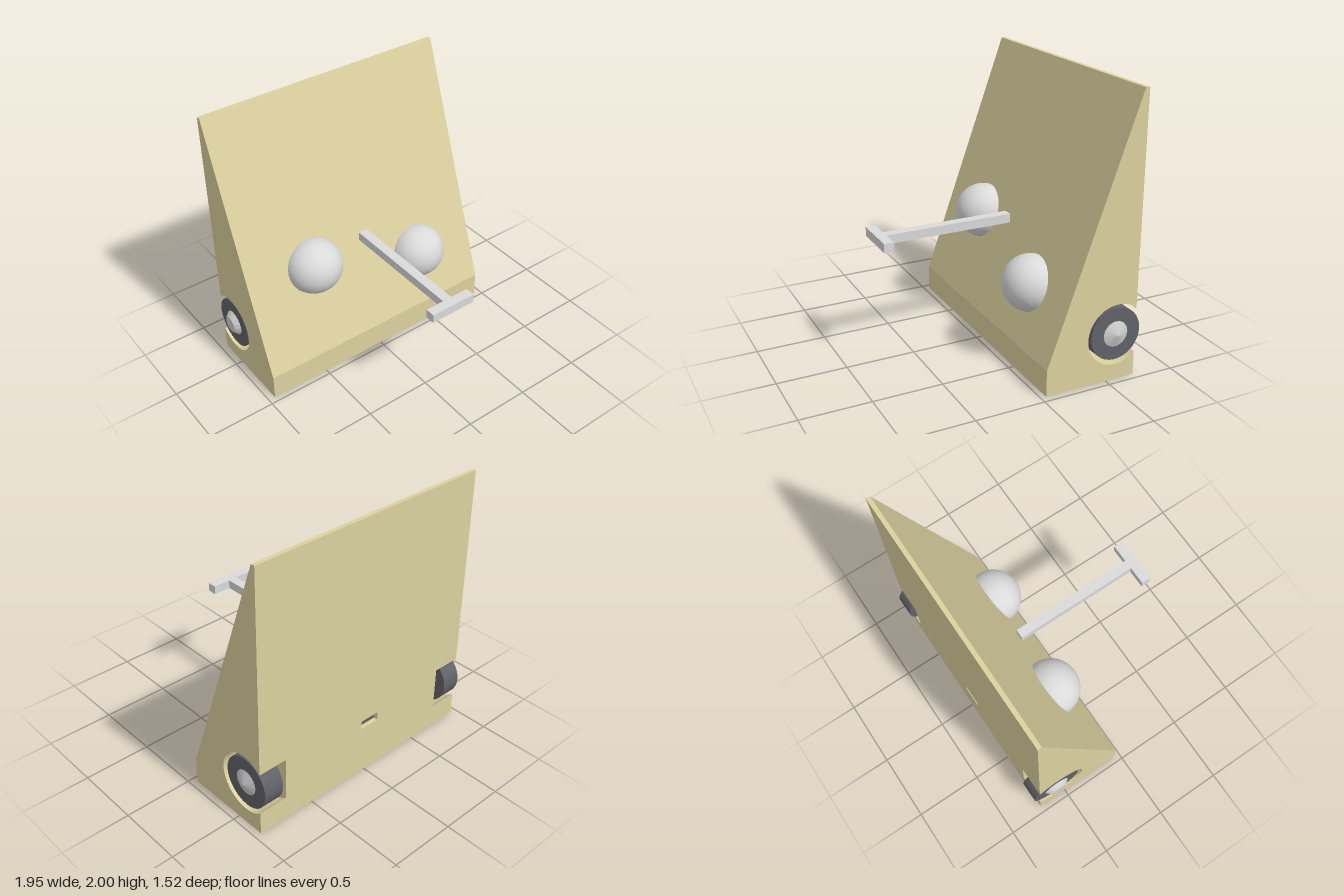
import * as THREE from 'three';

const mat = (name, color, flat = false) => new THREE.MeshStandardMaterial({ name, color, flatShading: flat });

export function createModel() {
  const model = new THREE.Group();
  const tan = mat('tan body', 0xdcd29f);
  const grey = mat('light grey', 0xdadada);
  const hubGrey = mat('hub grey', 0xd0d0d0, true);
  const rubber = mat('dark rubber', 0x62626a, true);

  const add = (name, geometry, material, x = 0, y = 0, z = 0, parent = model) => {
    const mesh = new THREE.Mesh(geometry, material);
    mesh.name = name;
    mesh.position.set(x, y, z);
    parent.add(mesh);
    return mesh;
  };

  // Wedge side profile (horizontal axis runs backwards), with a cut in its back edge
  const axleY = 0.335, axleBack = 0.57, wellR = 0.22;
  const profile = (cutBack) => {
    const s = new THREE.Shape();
    s.moveTo(0.04, 0);
    s.lineTo(0.72, 0);
    if (cutBack) cutBack(s);
    s.lineTo(0.72, 2);
    s.lineTo(0.69, 2);
    s.lineTo(0.04, 0.19);
    s.closePath();
    return s;
  };
  const well = (s) => {
    const a = Math.acos((0.72 - axleBack) / wellR);
    s.absarc(axleBack, axleY, wellR, -a, a, true);
  };
  const slot = (s) => {
    for (const [u, y] of [[0.72, 0.37], [0.67, 0.37], [0.67, 0.435], [0.72, 0.435]]) s.lineTo(u, y);
  };

  // Body in slices across x, so wheel wells and rear slot are true recesses
  const body = new THREE.Group();
  body.name = 'body';
  model.add(body);
  const slices = [
    ['rightWheelWell', -0.95, -0.73, well],
    ['bodyRight', -0.73, -0.12, null],
    ['bodySlot', -0.12, 0.035, slot],
    ['bodyLeft', 0.035, 0.73, null],
    ['leftWheelWell', 0.73, 0.95, well],
  ];
  for (const [name, x0, x1, cut] of slices) {
    const g = new THREE.ExtrudeGeometry(profile(cut), { depth: x1 - x0, bevelEnabled: false, curveSegments: 40 });
    g.rotateY(Math.PI / 2);
    add(name, g, tan, x0, 0, 0, body);
  }

  // Socket inside the rear slot
  add('rearSocket', new THREE.BoxGeometry(0.135, 0.05, 0.02), rubber, -0.0425, 0.4025, -0.685);

  // Wheels, hubs and axles
  for (const side of [-1, 1]) {
    const wheel = new THREE.Group();
    wheel.name = side > 0 ? 'leftWheel' : 'rightWheel';
    wheel.position.set(0, axleY, -axleBack);
    model.add(wheel);
    const across = (name, rOut, rIn, x0, x1, sides, material) => {
      const g = new THREE.CylinderGeometry(rOut, rIn, x1 - x0, sides);
      g.rotateZ(-side * Math.PI / 2);
      add(name, g, material, side * (x0 + x1) / 2, 0, 0, wheel);
    };
    across('tyre', 0.19, 0.19, 0.79, 0.94, 32, rubber);
    across('axle', 0.04, 0.04, 0.72, 0.8, 16, hubGrey);
    if (side > 0) across('hub', 0, 0.1, 0.938, 0.973, 14, hubGrey);
    else across('hub', 0.06, 0.1, 0.938, 0.975, 14, hubGrey);
  }

  // Round eyes half sunk in the slope
  for (const [name, x, y, z] of [['rightEye', -0.42, 0.82, -0.265], ['leftEye', 0.455, 0.59, -0.19]]) {
    const eye = add(name, new THREE.SphereGeometry(0.205, 48, 32), grey, x, y, z);
    eye.scale.set(1.02, 0.98, 1);
  }

  // T-shaped bar
  add('barStem', new THREE.BoxGeometry(0.07, 0.065, 0.94), grey, 0, 0.908, 0.22);
  add('barHandle', new THREE.BoxGeometry(0.345, 0.065, 0.07), grey, -0.002, 0.908, 0.725);

  return model;
}
